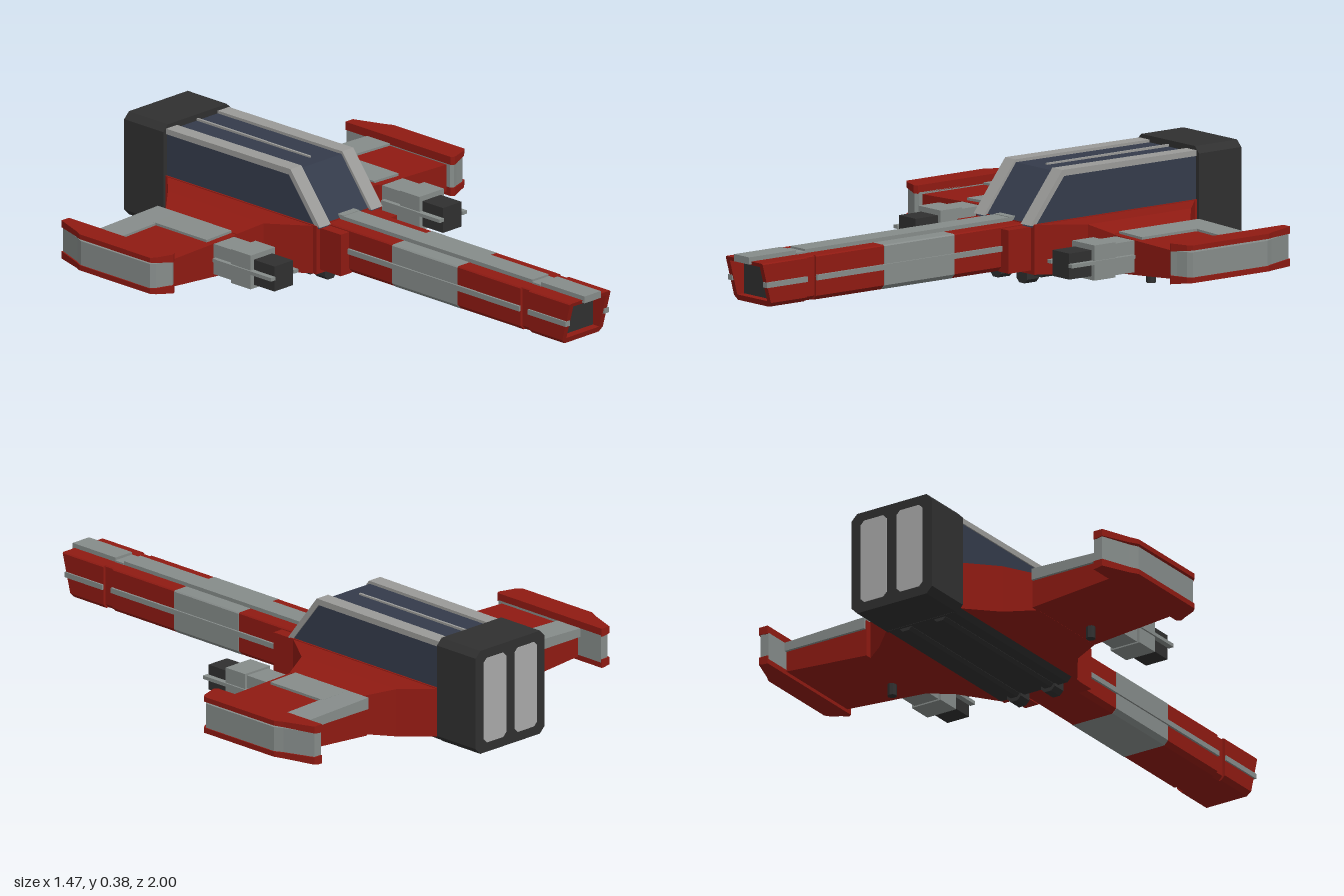
import * as THREE from 'three';

const RED = 0x8f1a12, GREY = 0x868c8a, RAIL = 0x9a9a98, DARK = 0x303030, GLASS = 0x343b4b, LIGHT = 0xaaaaaa;

export function createModel() {
  const model = new THREE.Group();
  const mats = {};
  const material = (c) => (mats[c] ??= new THREE.MeshStandardMaterial({ color: c, flatShading: true }));

  function add(name, geo, color) {
    const g = geo.index ? geo.toNonIndexed() : geo;
    g.computeVertexNormals();
    const mesh = new THREE.Mesh(g, material(color));
    mesh.name = name;
    model.add(mesh);
  }

  // Mirror in x, swapping corners so faces keep pointing outwards
  function mirrored(geo) {
    const g = geo.index ? geo.toNonIndexed() : geo.clone();
    const p = g.attributes.position, a = new THREE.Vector3(), b = new THREE.Vector3();
    g.scale(-1, 1, 1);
    for (let i = 0; i < p.count; i += 3) {
      a.fromBufferAttribute(p, i + 1);
      b.fromBufferAttribute(p, i + 2);
      p.setXYZ(i + 1, b.x, b.y, b.z);
      p.setXYZ(i + 2, a.x, a.y, a.z);
    }
    return g;
  }
  function pair(name, geo, color) {
    add(name + 'Left', geo, color);
    add(name + 'Right', mirrored(geo), color);
  }

  // Box from its limits on each axis
  const box = (x0, x1, y0, y1, z0, z1) => new THREE.BoxGeometry(x1 - x0, y1 - y0, z1 - z0)
    .translate((x0 + x1) / 2, (y0 + y1) / 2, (z0 + z1) / 2);

  const shapeOf = (pts) => new THREE.Shape(pts.map(([x, y]) => new THREE.Vector2(x, y)));
  const extrude = (shape, depth) => new THREE.ExtrudeGeometry(shape, { depth, bevelEnabled: false });

  // Rectangle with cut corners, bottom cut and top cut set apart
  const cutRect = (x0, x1, y0, y1, b, t = b) => shapeOf([
    [x0 + b, y0], [x1 - b, y0], [x1, y0 + b], [x1, y1 - t],
    [x1 - t, y1], [x0 + t, y1], [x0, y1 - t], [x0, y0 + b]]);

  // Side profile of [z, y] points given width from x0 to x1
  const sideProfile = (pts, x0, x1) =>
    extrude(shapeOf(pts.map(([z, y]) => [-z, y])), x1 - x0).rotateY(Math.PI / 2).translate(x0, 0, 0);

  // Loft across x; each station is [x, zFront, zBack, yBottom, yTop]
  function loft(stations) {
    const pos = [], idx = [];
    for (const [x, zf, zb, y0, y1] of stations) pos.push(x, y0, zf, x, y0, zb, x, y1, zb, x, y1, zf);
    for (let s = 0; s < stations.length - 1; s++) {
      for (let k = 0; k < 4; k++) {
        const a = s * 4 + k, b = s * 4 + (k + 1) % 4;
        idx.push(a, b, b + 4, a, b + 4, a + 4);
      }
    }
    const e = (stations.length - 1) * 4;
    idx.push(0, 2, 1, 0, 3, 2, e, e + 1, e + 2, e, e + 2, e + 3);
    const g = new THREE.BufferGeometry();
    g.setAttribute('position', new THREE.Float32BufferAttribute(pos, 3));
    g.setIndex(idx);
    return g;
  }

  // Long forward boom in painted sections
  const boomSections = [[-0.14, 0.17, RED, 0.093], [0.17, 0.47, GREY, 0.095], [0.47, 0.76, RED, 0.093], [0.76, 0.8, RED, 0.085]];
  for (const [z0, z1, color, w] of boomSections) {
    add('boomSection', extrude(cutRect(-w, w, 0.057, 0.207, 0.015, 0.004), z1 - z0).translate(0, 0, z0), color);
  }

  // Hollow nose with a raked front edge
  const noseShape = cutRect(-0.095, 0.095, 0.057, 0.207, 0.015, 0.004);
  noseShape.holes.push(new THREE.Path([[-0.077, 0.076], [-0.077, 0.194], [0.077, 0.194], [0.077, 0.076]]
    .map(([x, y]) => new THREE.Vector2(x, y))));
  const nose = extrude(noseShape, 0.19).translate(0, 0, 0.8);
  const np = nose.attributes.position;
  for (let i = 0; i < np.count; i++) {
    if (np.getZ(i) > 0.9) np.setZ(i, 0.99 - (0.207 - np.getY(i)) * 0.27);
  }
  add('nose', nose, RED);
  add('noseCore', box(-0.078, 0.078, 0.075, 0.195, 0.79, 0.925), DARK);

  // Grey strips along the boom
  add('boomTopStrip', box(-0.038, 0.038, 0.2, 0.22, -0.13, 0.76), GREY);
  add('boomTopStripJoint', box(-0.04, 0.04, 0.19, 0.213, 0.76, 0.8), GREY);
  add('noseTopStrip', box(-0.038, 0.038, 0.198, 0.222, 0.8, 1), GREY);
  pair('boomSideStrip', box(0.08, 0.101, 0.125, 0.143, -0.03, 0.76), GREY);
  pair('noseSideStrip', box(0.08, 0.101, 0.125, 0.143, 0.8, 0.975), GREY);

  // Collar where the boom meets the hull
  pair('collar', box(0.08, 0.132, 0.055, 0.2, -0.2, -0.03), RED);

  // Central hull and its sloping shoulders
  add('hullCore', box(-0.15, 0.15, 0.042, 0.21, -0.83, -0.125), RED);
  pair('hullShoulder', loft([
    [0.14, -0.125, -0.825, 0.042, 0.208], [0.15, -0.14, -0.81, 0.042, 0.208],
    [0.245, -0.275, -0.715, 0.042, 0.207], [0.335, -0.31, -0.637, 0.054, 0.184]]), RED);

  // Cabin with sloped windscreen, edge rails and top ridge
  add('canopy', sideProfile([[-0.12, 0.2], [-0.25, 0.368], [-0.83, 0.365], [-0.83, 0.2]], -0.143, 0.143), GLASS);
  pair('canopyRail', sideProfile([[-0.112, 0.207], [-0.247, 0.378], [-0.83, 0.374], [-0.83, 0.355],
    [-0.255, 0.357], [-0.135, 0.207]], 0.095, 0.147), RAIL);
  add('canopyRidge', box(-0.004, 0.004, 0.36, 0.373, -0.82, -0.3), RAIL);
  add('canopyBase', box(-0.038, 0.038, 0.2, 0.222, -0.16, -0.11), GREY);

  // Rear engine block and its two light panels
  add('engineBlock', extrude(cutRect(-0.16, 0.16, 0.027, 0.387, 0.022), 0.18).translate(0, 0, -1), DARK);
  pair('enginePanel', extrude(cutRect(0.02, 0.123, 0.06, 0.355, 0.014), 0.012).translate(0, 0, -1.002), LIGHT);

  // Belly plate and skids
  add('bellyPlate', extrude(cutRect(-0.15, 0.15, 0.026, 0.07, 0.018, 0.001), 0.66).translate(0, 0, -0.83), DARK);
  pair('skid', extrude(cutRect(0.045, 0.09, 0.015, 0.05, 0.01), 0.66).translate(0, 0, -0.82), DARK);
  pair('skidFoot', extrude(cutRect(0.04, 0.095, 0.002, 0.058, 0.014), 0.05).translate(0, 0, -0.19), DARK);

  // Wings with raised L-shaped panels
  pair('wing', loft([[0.33, -0.31, -0.665, 0.054, 0.182], [0.66, -0.31, -0.665, 0.08, 0.172]]), RED);
  pair('wingRearPanel', loft([[0.333, -0.57, -0.675, 0.15, 0.19], [0.65, -0.57, -0.675, 0.15, 0.18]]), GREY);
  pair('wingInnerPanel', loft([[0.333, -0.335, -0.58, 0.15, 0.19], [0.45, -0.335, -0.58, 0.15, 0.187]]), GREY);

  // Wing tips: red top and bottom with a grey band between
  const tip = (inset, y0, y1) => loft([
    [0.648, -0.29 - inset, -0.775 + inset, y0, y1], [0.66, -0.282 - inset, -0.775 + inset, y0, y1],
    [0.683 - inset, -0.29 - inset, -0.775 + inset, y0 + 0.004, y1],
    [0.722 - inset, -0.302 - inset, -0.67 + inset, y0 + 0.009, y1],
    [0.737 - inset, -0.315 - inset, -0.64 + inset, y0 + 0.011, y1]]);
  pair('wingTipTop', tip(0, 0.176, 0.204), RED);
  pair('wingTipBottom', tip(0, 0.067, 0.096), RED);
  pair('wingTipBand', tip(0.004, 0.085, 0.18), GREY);

  // Guns under the wing fronts
  pair('gunBody', box(0.347, 0.443, 0.072, 0.178, -0.34, -0.21), GREY);
  pair('gunHousing', box(0.338, 0.453, 0.067, 0.185, -0.22, -0.13), GREY);
  pair('gunMuzzle', box(0.352, 0.438, 0.08, 0.167, -0.14, -0.035), DARK);
  for (const x of [0.341, 0.449]) {
    pair('gunSideRod', box(x - 0.01, x + 0.01, 0.121, 0.133, -0.3, -0.03), GREY);
  }
  pair('gunMount', new THREE.CylinderGeometry(0.016, 0.016, 0.06, 8).translate(0.395, 0.048, -0.42), DARK);

  return model;
}
